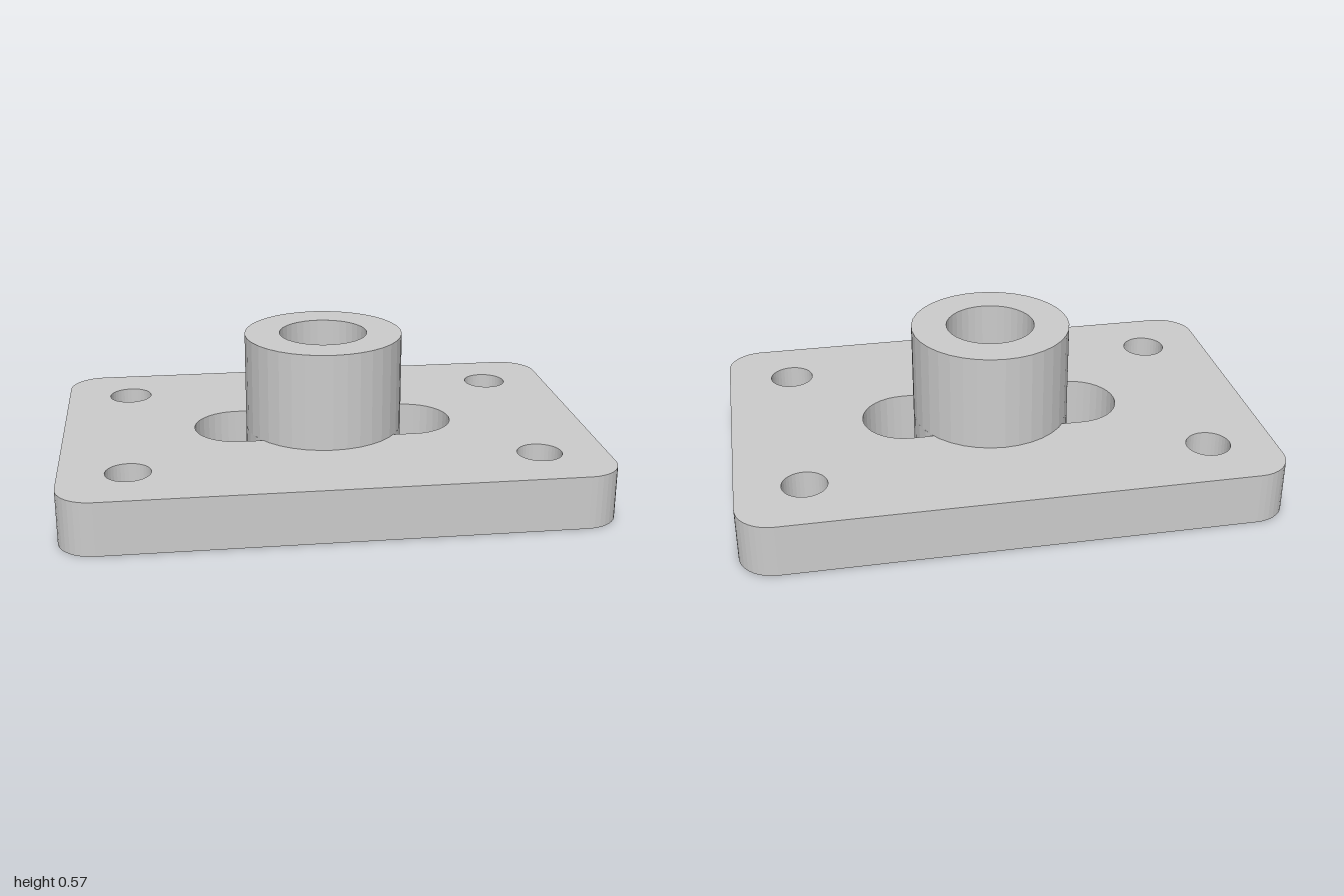
import * as THREE from 'three';

const PLATE_TOP = 0.2, BOSS_TOP = 0.567;
const BOSS_R = 0.3, BORE_R = 0.167, SLOT_X = 0.333;
const STEP = Math.PI / 18; // one facet per 10 degrees

// Points along an arc, both ends included
function arc(cx, cy, r, a0, a1) {
  const n = Math.max(1, Math.round(Math.abs(a1 - a0) / STEP));
  return Array.from({ length: n + 1 }, (_, i) => {
    const a = a0 + ((a1 - a0) * i) / n;
    return new THREE.Vector2(cx + r * Math.cos(a), cy + r * Math.sin(a));
  });
}

const circle = (cx, cy, r) => arc(cx, cy, r, 0, Math.PI * 2).slice(0, -1);

// Rounded plate pierced by bolt holes, the bore and the open slot ends
function plateGeometry() {
  const w = 1, d = 0.667, r = 0.133, q = Math.PI / 2;
  const shape = new THREE.Shape([
    ...arc(w - r, d - r, r, 0, q),
    ...arc(r - w, d - r, r, q, 2 * q),
    ...arc(r - w, r - d, r, 2 * q, 3 * q),
    ...arc(w - r, r - d, r, 3 * q, 4 * q),
  ]);
  const cut = (points) => shape.holes.push(new THREE.Path(points));

  cut(circle(0, 0, BORE_R));
  for (const sx of [-1, 1])
    for (const sy of [-1, 1]) cut(circle(sx * 0.75, sy * 0.417, 0.083));

  // Slot end: boss wall on the inside, half circle on the outside
  const a = Math.asin(BORE_R / BOSS_R);
  const slotEnd = [...arc(SLOT_X, 0, BORE_R, -q, q), ...arc(0, 0, BOSS_R, a, -a)];
  cut(slotEnd);
  cut(slotEnd.map((p) => new THREE.Vector2(-p.x, p.y)));

  return new THREE.ExtrudeGeometry(shape, { depth: PLATE_TOP, bevelEnabled: false })
    .rotateX(-Math.PI / 2);
}

// Hollow boss standing on the plate
function bossGeometry() {
  const profile = [
    [BOSS_R, PLATE_TOP], [BOSS_R, BOSS_TOP], [BORE_R, BOSS_TOP], [BORE_R, PLATE_TOP],
  ].map(([x, y]) => new THREE.Vector2(x, y));
  return new THREE.LatheGeometry(profile, 36, Math.PI / 2);
}

export function createModel() {
  const material = new THREE.MeshStandardMaterial({ color: 0xcccccc, flatShading: true });
  const group = new THREE.Group();
  group.name = 'flangedBushing';
  const add = (name, geometry) => {
    const mesh = new THREE.Mesh(geometry, material);
    mesh.name = name;
    group.add(mesh);
  };
  add('basePlate', plateGeometry());
  add('boss', bossGeometry());
  return group;
}
